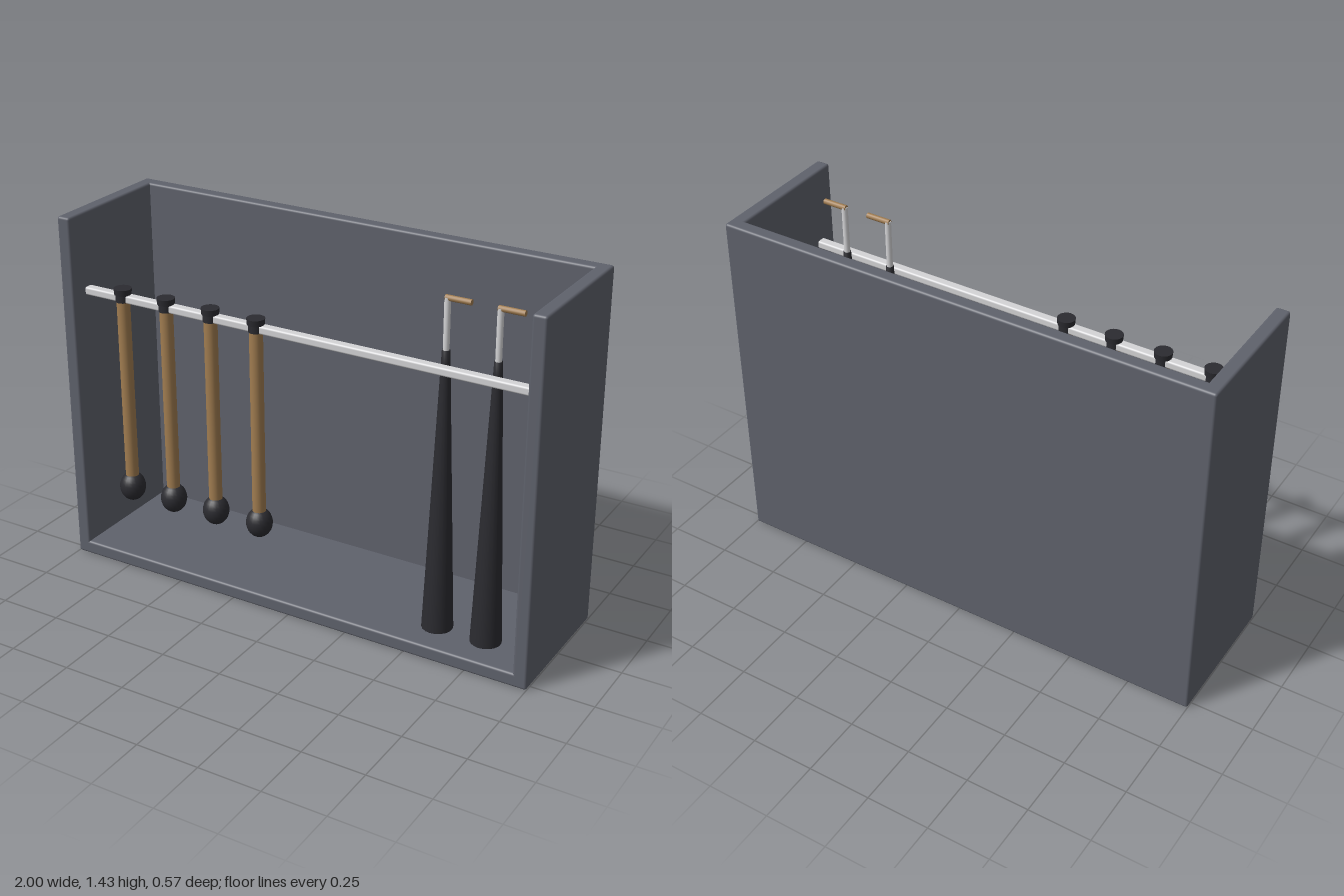
import * as THREE from 'three';
import { RoundedBoxGeometry } from 'three/addons/geometries/RoundedBoxGeometry.js';

const material = (name, color) => {
  const m = new THREE.MeshStandardMaterial({ color });
  m.name = name;
  return m;
};

export function createModel() {
  const slate = material('slate grey', 0x5f626c);
  const wood = material('wood', 0xa07c50);
  const black = material('black', 0x2b2b30);
  const silver = material('silver', 0xd4d4d6);

  const model = new THREE.Group();
  model.name = 'openRack';

  const add = (parent, name, geometry, mat, x = 0, y = 0, z = 0) => {
    const mesh = new THREE.Mesh(geometry, mat);
    mesh.name = name;
    mesh.position.set(x, y, z);
    parent.add(mesh);
    return mesh;
  };
  const lathe = (points, sides) =>
    new THREE.LatheGeometry(points.map(([r, y]) => new THREE.Vector2(r, y)), sides);

  // Open cabinet: floor, back and two side walls with softened edges
  const W = 2, H = 1.43, D = 0.57, T = 0.055, R = 0.01;
  const cabinet = new THREE.Group();
  cabinet.name = 'cabinet';
  model.add(cabinet);
  add(cabinet, 'floor', new RoundedBoxGeometry(W, T, D, 3, R), slate, 0, T / 2, 0);
  add(cabinet, 'backWall', new RoundedBoxGeometry(W, H, T, 3, R), slate, 0, H / 2, -D / 2 + T / 2);
  for (const s of [-1, 1]) {
    add(cabinet, s < 0 ? 'rightWall' : 'leftWall',
      new RoundedBoxGeometry(T, H, D, 3, R), slate, s * (W / 2 - T / 2), H / 2, 0);
  }

  // Hanging rail between the side walls
  add(model, 'rail', new RoundedBoxGeometry(1.89, 0.032, 0.038, 3, 0.008), silver, 0, 1.12, 0.196);

  // Mallets hanging from the rail
  const handle = new THREE.CylinderGeometry(0.026, 0.026, 0.8, 20);
  const head = new THREE.SphereGeometry(0.052, 20, 14).scale(1, 1.15, 1);
  const collar = new THREE.CylinderGeometry(0.029, 0.029, 0.04, 20);
  const cap = new RoundedBoxGeometry(0.068, 0.026, 0.068, 3, 0.01);
  const capRound = new THREE.CylinderGeometry(0.035, 0.033, 0.024, 20);
  cap.dispose();
  for (let i = 0; i < 4; i++) {
    const mallet = new THREE.Group();
    mallet.name = 'mallet';
    mallet.position.set(-0.775 + i * 0.2, 0, 0.198);
    model.add(mallet);
    add(mallet, 'malletHandle', handle, wood, 0, 0.72, 0);
    add(mallet, 'malletHead', head, black, 0, 0.318, 0);
    add(mallet, 'malletCollar', collar, black, 0, 1.126, 0);
    add(mallet, 'malletCap', capRound, black, 0, 1.147, 0);
  }

  // Folded umbrellas standing on the floor
  const canopy = lathe([[0, T], [0.06, T], [0.06, T + 0.001], [0.017, 1.12], [0.015, 1.17], [0, 1.17]], 18);
  const shaft = new THREE.CylinderGeometry(0.012, 0.012, 0.21, 14);
  const grip = new THREE.CylinderGeometry(0.011, 0.011, 0.1, 14).rotateZ(Math.PI / 2);
  for (const x of [0.567, 0.767]) {
    const umbrella = new THREE.Group();
    umbrella.name = 'umbrella';
    umbrella.position.set(x, 0, 0.135);
    model.add(umbrella);
    add(umbrella, 'umbrellaCanopy', canopy, black);
    add(umbrella, 'umbrellaShaft', shaft, silver, 0, 1.26, 0);
    add(umbrella, 'umbrellaGrip', grip, wood, 0.042, 1.363, 0);
  }

  return model;
}
